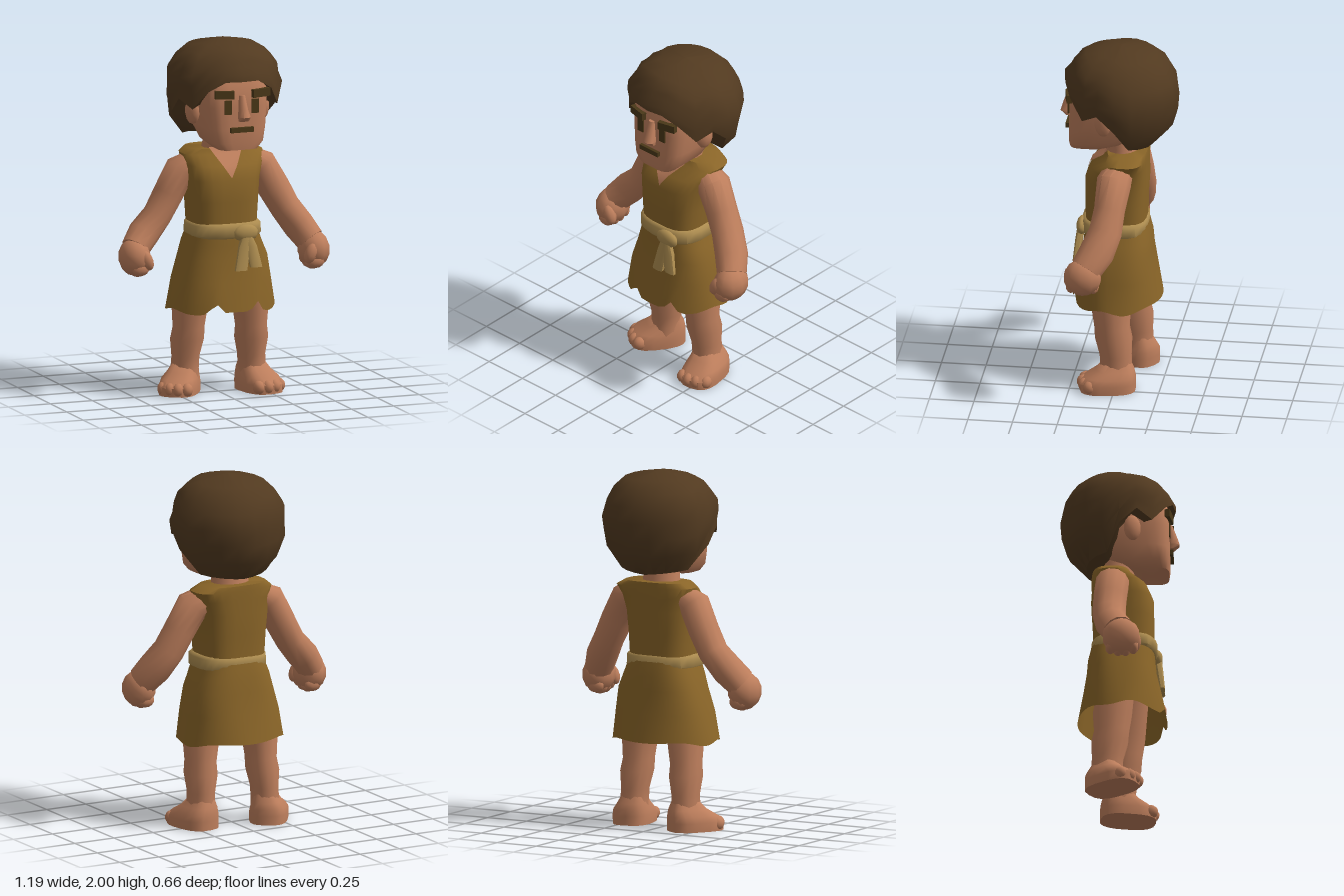
import * as THREE from 'three';
import { toCreasedNormals } from 'three/addons/utils/BufferGeometryUtils.js';

const V = (x, y, z) => new THREE.Vector3(x, y, z);
const paint = (name, color, side = THREE.FrontSide) => {
  const m = new THREE.MeshStandardMaterial({ color, side });
  m.name = name;
  return m;
};

// Joins rings of points into a surface, with optional end caps
function skinRings(rings, caps = true, crease = 0.9) {
  const n = rings[0].length, pos = [], idx = [];
  rings.forEach(r => r.forEach(p => pos.push(p.x, p.y, p.z)));
  for (let i = 0; i < rings.length - 1; i++) for (let j = 0; j < n; j++) {
    const k = (j + 1) % n, a = i * n + j, b = i * n + k, c = a + n, d = b + n;
    idx.push(a, b, d, a, d, c);
  }
  if (caps) [0, rings.length - 1].forEach((r, e) => {
    const c = rings[r].reduce((s, p) => s.add(p), V(0, 0, 0)).divideScalar(n);
    const ci = pos.length / 3;
    pos.push(c.x, c.y, c.z);
    for (let j = 0; j < n; j++) {
      const a = r * n + j, b = r * n + (j + 1) % n;
      e ? idx.push(ci, a, b) : idx.push(ci, b, a);
    }
  });
  const g = new THREE.BufferGeometry();
  g.setAttribute('position', new THREE.Float32BufferAttribute(pos, 3));
  g.setIndex(idx);
  return toCreasedNormals(g, crease);
}

// Sections [x, y, z, halfWidth, halfDepth, squareness]; flat keeps every section level
function sweep(secs, { n = 14, p = 2, flat = false, caps = true, rule = null } = {}) {
  const c = secs.map(s => V(s[0], s[1], s[2]));
  const rings = secs.map((s, i) => {
    const t = c[Math.min(i + 1, c.length - 1)].clone().sub(c[Math.max(i - 1, 0)]).normalize();
    if (flat) t.set(0, Math.sign(t.y), 0);
    const u = V(1, 0, 0).addScaledVector(t, -t.x).normalize(), v = t.clone().cross(u);
    return Array.from({ length: n }, (_, j) => {
      const a = (j + 0.5) / n * Math.PI * 2;
      const f = q => Math.sign(q) * Math.pow(Math.abs(q), 2 / (s[5] ?? p));
      const pt = c[i].clone().addScaledVector(u, f(Math.cos(a)) * s[3]).addScaledVector(v, f(Math.sin(a)) * s[4]);
      if (rule) rule(pt, i);
      return pt;
    });
  });
  return skinRings(rings, caps);
}

// Linear lookup in a list of [key, value]
function lookup(t, x) {
  for (let i = 1; i < t.length; i++) if (x <= t[i][0]) {
    const k = (x - t[i - 1][0]) / (t[i][0] - t[i - 1][0]);
    return THREE.MathUtils.lerp(t[i - 1][1], t[i][1], k);
  }
  return t[t.length - 1][1];
}

export function createModel() {
  const root = new THREE.Group();
  const skin = paint('skin', 0xbd7e5c);
  const cloth = paint('tunic cloth', 0x8a6528, THREE.DoubleSide);
  const sash = paint('belt cloth', 0xae8d50);
  const hairMat = paint('hair brown', 0x523a20);
  const dark = paint('face dark', 0x4a3818);
  const add = (name, geo, mat, parent = root) => {
    const m = new THREE.Mesh(geo, mat);
    m.name = name;
    parent.add(m);
    return m;
  };
  const blob = (name, x, y, z, sx, sy, sz, parent = root, mat = skin) => {
    const m = add(name, new THREE.SphereGeometry(1, 10, 7), mat, parent);
    m.position.set(x, y, z);
    m.scale.set(sx, sy, sz);
    return m;
  };

  // Tunic body and skirt with two notches in the front hem
  add('tunicBody', sweep([
    [0.01, 0.95, 0.015, 0.185, 0.17], [0.01, 1.1, 0.015, 0.195, 0.172], [0.01, 1.22, 0.01, 0.205, 0.175],
    [0.02, 1.3, -0.005, 0.222, 0.155], [0.03, 1.355, -0.045, 0.237, 0.118], [0.02, 1.385, -0.05, 0.19, 0.11],
  ], { n: 24, p: 3, flat: true }), cloth);
  add('skirt', sweep([
    [0.015, 0.94, 0.01, 0.185, 0.175, 2.8], [0.015, 0.86, 0.005, 0.215, 0.188, 2.8],
    [0.02, 0.78, 0.005, 0.245, 0.195, 2.7], [0.01, 0.65, 0.01, 0.275, 0.22, 2.5], [0.005, 0.49, 0.01, 0.31, 0.25, 2.05],
  ], {
    n: 48, flat: true, caps: false,
    rule: (q, i) => {
      if (i < 4) return;
      if (q.z > 0) for (const x of [-0.11, 0.14]) q.y += 0.06 * Math.exp(-(((q.x - x) / 0.028) ** 2));
      q.y += 0.012 * Math.sin(q.z * 25);
    },
  }), cloth);

  // Belt, knot and hanging ends
  add('belt', sweep([
    [0.015, 0.895, 0.02, 0.19, 0.172], [0.015, 0.91, 0.02, 0.205, 0.186],
    [0.015, 0.965, 0.02, 0.203, 0.184], [0.015, 0.98, 0.02, 0.188, 0.17],
  ], { n: 24, p: 2.8, flat: true }), sash);
  blob('beltKnot', 0.085, 0.925, 0.2, 0.075, 0.05, 0.033, root, sash);
  [[0.045, 0.72], [0.135, 0.735]].forEach(([x, y]) => add('beltEnd', sweep([
    [0.085, 0.93, 0.205, 0.025, 0.02], [0.05 + x * 0.45, 0.85, 0.215, 0.034, 0.02], [x, y, 0.23, 0.036, 0.016],
  ], { n: 8, p: 3, flat: true }), sash));

  // Neck and the bare chest in the V of the collar
  add('neck', sweep([
    [0.02, 1.33, -0.02, 0.12, 0.1], [0.02, 1.4, -0.015, 0.108, 0.092], [0.03, 1.5, 0.0, 0.1, 0.09],
  ], { flat: true }), skin);
  const chest = new THREE.BufferGeometry();
  chest.setAttribute('position', new THREE.Float32BufferAttribute([
    0.01, 1.235, 0.184, 0.05, 1.3, 0.158, -0.03, 1.3, 0.158,
    0.1, 1.36, 0.084, -0.06, 1.36, 0.084, 0.12, 1.395, 0.06, -0.08, 1.395, 0.06], 3));
  chest.setIndex([0, 1, 2, 2, 1, 3, 2, 3, 4, 4, 3, 5, 4, 5, 6]);
  chest.computeVertexNormals();
  add('chestOpening', chest, skin);

  // Arms, each with a closed fist
  const arms = {
    rightArm: [-1, [-0.13, 1.3, -0.04, 0.07, 0.08], [-0.21, 1.26, -0.045, 0.09, 0.095],
      [-0.275, 1.13, -0.058, 0.085, 0.095], [-0.34, 1.01, -0.062, 0.08, 0.095],
      [-0.425, 0.915, -0.05, 0.088, 0.092], [-0.49, 0.84, -0.012, 0.08, 0.09]],
    leftArm: [1, [0.16, 1.31, -0.02, 0.07, 0.08], [0.25, 1.265, 0, 0.09, 0.1],
      [0.325, 1.13, 0.015, 0.09, 0.088], [0.385, 1.02, 0.03, 0.084, 0.095],
      [0.45, 0.92, 0.07, 0.088, 0.1], [0.5, 0.84, 0.122, 0.08, 0.09]],
  };
  for (const [name, [s, ...path]] of Object.entries(arms)) {
    add(name, sweep(path, { n: 12 }), skin);
    const hand = new THREE.Group();
    hand.name = name.replace('Arm', 'Hand');
    const e = path[path.length - 1];
    hand.position.set(e[0] + s * 0.012, e[1] - 0.045, e[2] + 0.018);
    blob('palm', 0, 0, 0, 0.09, 0.105, 0.108, hand);
    for (let i = 0; i < 4; i++)
      blob('finger', -s * 0.012, -0.075 + Math.abs(i - 1.5) * 0.012, -0.06 + i * 0.042, 0.052, 0.04, 0.03, hand);
    blob('thumb', -s * 0.045, -0.01, 0.075, 0.036, 0.06, 0.036, hand).rotation.z = -s * 0.4;
    root.add(hand);
  }

  // Legs and splayed feet
  for (const [side, s, dx, dz, turn] of [['right', -1, 0, 0, -0.6], ['left', 1, 0.028, 0.07, 0.18]]) {
    const L = (x, y, z, rx, rz) => [s * (x + dx), y, z + dz, rx, rz];
    add(side + 'Leg', sweep([
      L(0.172, 0.05, -0.075, 0.08, 0.095), L(0.172, 0.13, -0.075, 0.078, 0.09), L(0.168, 0.2, -0.072, 0.077, 0.09),
      L(0.163, 0.3, -0.06, 0.094, 0.105), L(0.158, 0.37, -0.05, 0.088, 0.1), L(0.153, 0.48, -0.045, 0.1, 0.112),
      L(0.115, 0.76, -0.01, 0.09, 0.1),
    ], { n: 12, flat: true }), skin);
    const foot = new THREE.Group();
    foot.name = side + 'Foot';
    foot.position.set(s * (0.17 + dx), 0, -0.08 + dz);
    foot.rotation.y = turn;
    const o = s * 0.016;
    add('footBody', sweep([
      [o, 0, 0.053, 0.106, 0.156], [o, 0.05, 0.055, 0.108, 0.158], [o, 0.085, 0.035, 0.1, 0.138],
      [o / 2, 0.12, 0.01, 0.082, 0.105], [0, 0.17, -0.002, 0.06, 0.07],
    ], { n: 18, p: 2.8, flat: true }), skin, foot);
    for (let i = 0; i < 4; i++)
      blob('toe', o - s * (0.07 - i * 0.047), 0.038, [0.17, 0.185, 0.18, 0.155][i], 0.033, 0.038, 0.04, foot);
    root.add(foot);
  }

  // Head, nose and ears
  const cx = 0.03;
  add('head', sweep([
    [cx, 1.41, 0.17, 0.115, 0.1], [cx, 1.45, 0.12, 0.158, 0.155], [cx, 1.53, 0.07, 0.178, 0.205],
    [cx, 1.65, 0.05, 0.19, 0.22], [cx, 1.78, 0.03, 0.195, 0.235], [cx, 1.88, 0.02, 0.16, 0.18],
  ], { n: 24, p: 4, flat: true }), skin);
  add('nose', sweep([
    [0.04, 1.575, 0.285, 0.03, 0.018], [0.04, 1.6, 0.293, 0.036, 0.036], [0.038, 1.64, 0.283, 0.026, 0.034],
    [0.035, 1.72, 0.268, 0.018, 0.018],
  ], { n: 8, flat: true }), skin);
  for (const s of [-1, 1]) {
    blob(s < 0 ? 'rightEar' : 'leftEar', cx + s * 0.21, 1.61, 0.065, 0.034, 0.075, 0.05).rotation.y = -s * 0.4;
    const brow = add('eyebrow', new THREE.BoxGeometry(0.108, 0.045, 0.03), dark);
    brow.position.set(cx + 0.01 + s * 0.108, 1.727, 0.268);
    brow.rotation.set(0, s * 0.2, s * 0.03);
    const eye = add('eye', new THREE.BoxGeometry(0.042, 0.08, 0.008), dark);
    eye.position.set(cx + 0.003 + s * 0.08, 1.655, 0.272);
  }
  add('mouth', new THREE.BoxGeometry(0.135, 0.028, 0.03), dark).position.set(cx, 1.527, 0.278);

  // Bushy, uneven hair whose lower edge follows the face, ears and nape
  const profile = [[1.42, 0.16], [1.45, 0.215], [1.5, 0.268], [1.57, 0.302], [1.66, 0.315], [1.76, 0.32],
    [1.83, 0.307], [1.91, 0.262], [1.965, 0.195], [1.985, 0.11], [2, 0.01]];
  const hem = [[0, 1.8], [18, 1.8], [36, 1.745], [54, 1.64], [72, 1.69], [90, 1.6], [108, 1.46], [180, 1.43]];
  const n = 20, rows = 7, rings = [];
  let seed = 7;
  const rand = () => (seed = (seed * 16807) % 2147483647) / 2147483647;
  for (let k = 0; k <= rows + 2; k++) {
    const tuck = Math.max(0, k - rows);
    rings.push(Array.from({ length: n }, (_, j) => {
      const a = j / n * Math.PI * 2, x = Math.cos(a), z = Math.sin(a);
      const low = lookup(hem, Math.abs(Math.atan2(x, z)) * 180 / Math.PI);
      const t = Math.min(k / rows, 1), y = 2 - (2 - low) * Math.pow(t, 1.35);
      const lump = 1 + (rand() - 0.5) * (k > 1 && k < rows ? 0.07 : 0);
      const r = lookup(profile, y) * lump * [1, 0.8, 0.4][tuck];
      return V(cx + x * r, y + tuck * 0.012, z * r - 0.008);
    }));
  }
  add('hair', skinRings(rings, true, 1.1), hairMat);

  return root;
}
